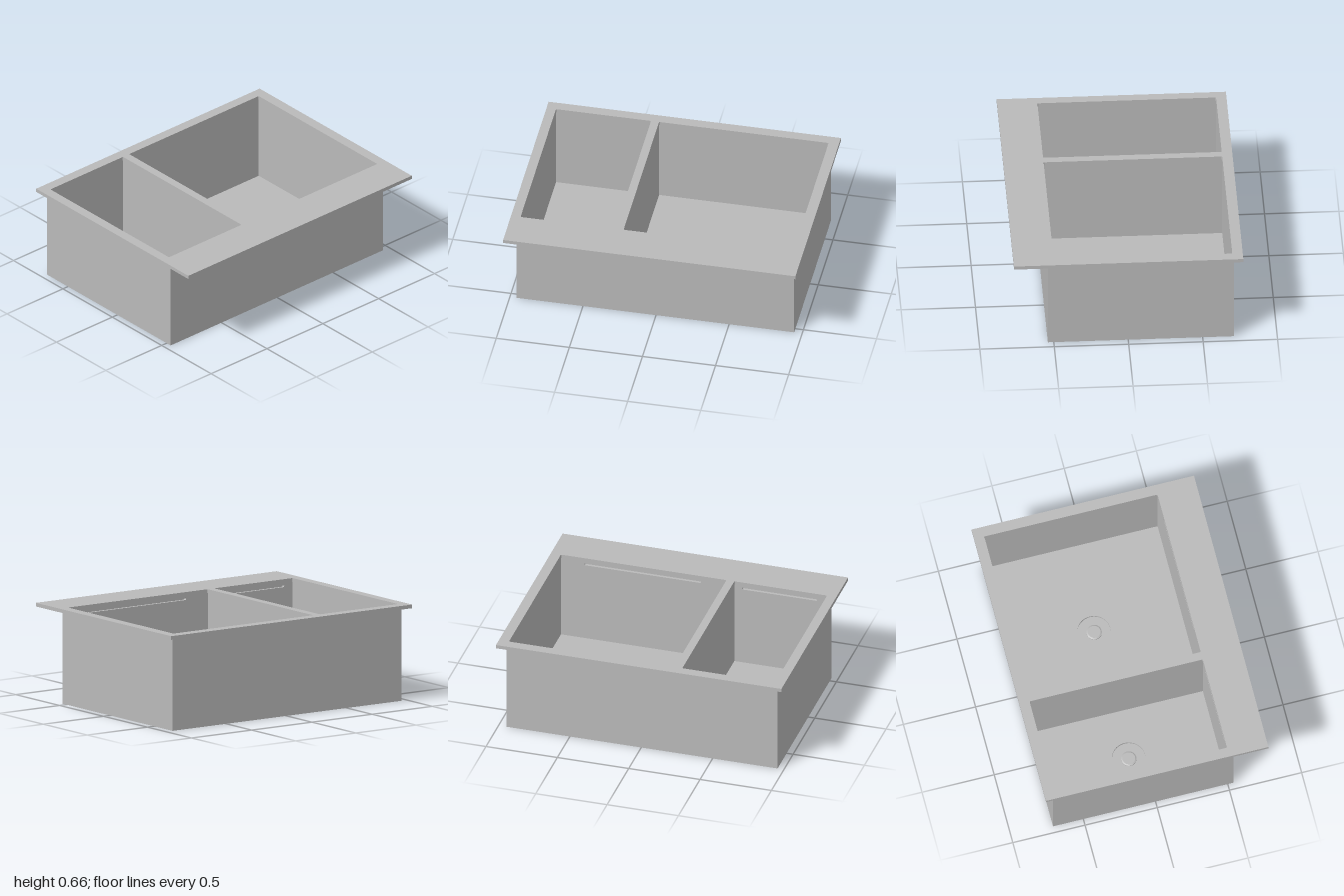
import * as THREE from 'three';

const steel = new THREE.MeshStandardMaterial({ color: 0xbababa });
steel.name = 'steel';

// Main levels and the two bowls (x range, slot x range, drain x)
const RIM_TOP = 0.66, RIM_BOTTOM = 0.635, FLOOR = 0.04;
const BODY = { x0: -0.955, x1: 0.945, z0: -0.71, z1: 0.54 };
const BACK = -0.7, FRONT = 0.5, DRAIN_Z = -0.1, DRAIN_R = 0.113;
const bowls = [
  { x0: -0.935, x1: -0.285, slot: [-0.865, -0.34], drain: -0.625 },
  { x0: -0.23, x1: 0.93, slot: [-0.05, 0.765], drain: 0.307 },
];

// Rectangle with rounded corners
function roundedRect(path, x0, x1, y0, y1, r) {
  path.moveTo(x0 + r, y0).lineTo(x1 - r, y0);
  path.absarc(x1 - r, y0 + r, r, -Math.PI / 2, 0);
  path.absarc(x1 - r, y1 - r, r, 0, Math.PI / 2);
  path.absarc(x0 + r, y1 - r, r, Math.PI / 2, Math.PI);
  path.absarc(x0 + r, y0 + r, r, Math.PI, Math.PI * 1.5);
  return path;
}

function rectShape(x0, x1, y0, y1) {
  return new THREE.Shape([[x0, y0], [x1, y0], [x1, y1], [x0, y1]].map(p => new THREE.Vector2(...p)));
}

function extrude(shape, depth) {
  return new THREE.ExtrudeGeometry(shape, { depth, bevelEnabled: false, curveSegments: 16 });
}

// Plan shapes use (x, -z) and are extruded upward from y0 to y1
function slab(shape, y0, y1) {
  return extrude(shape, y1 - y0).rotateX(-Math.PI / 2).translate(0, y0, 0);
}

export function createModel() {
  const group = new THREE.Group();
  group.name = 'doubleSink';
  const add = (name, geometry, x = 0, y = 0, z = 0) => {
    const mesh = new THREE.Mesh(geometry, steel);
    mesh.name = name;
    mesh.position.set(x, y, z);
    group.add(mesh);
  };

  // Flat rim with the two bowl openings
  const rim = rectShape(-1, 1, -0.77, 0.77);
  for (const b of bowls) rim.holes.push(roundedRect(new THREE.Path(), b.x0, b.x1, -FRONT, -BACK, 0.008));
  add('rim', slab(rim, RIM_BOTTOM, RIM_TOP));

  // Comb-shaped plan: side walls, back wall and divider
  const [a, c] = bowls;
  const walls = new THREE.Shape([
    [BODY.x0, -FRONT], [a.x0, -FRONT], [a.x0, -BACK], [a.x1, -BACK], [a.x1, -FRONT],
    [c.x0, -FRONT], [c.x0, -BACK], [c.x1, -BACK], [c.x1, -FRONT],
    [BODY.x1, -FRONT], [BODY.x1, -BODY.z0], [BODY.x0, -BODY.z0],
  ].map(p => new THREE.Vector2(...p)));
  add('sideWallsAndDivider', slab(walls, FLOOR, RIM_BOTTOM));

  // Front wall: slotted inner layer with a closed outer layer
  const inner = rectShape(BODY.x0, BODY.x1, FLOOR, RIM_BOTTOM);
  for (const b of bowls) inner.holes.push(roundedRect(new THREE.Path(), ...b.slot, 0.606, 0.622, 0.007));
  add('overflowWall', extrude(inner, 0.02), 0, 0, FRONT);
  add('frontWall', extrude(rectShape(BODY.x0, BODY.x1, FLOOR, RIM_BOTTOM), BODY.z1 - FRONT - 0.02), 0, 0, FRONT + 0.02);

  // Floor with drain recesses, closed underneath
  const floor = rectShape(BODY.x0, BODY.x1, -BODY.z1, -BODY.z0);
  for (const b of bowls) floor.holes.push(new THREE.Path().absarc(b.drain, -DRAIN_Z, DRAIN_R, 0, Math.PI * 2));
  add('bowlFloor', slab(floor, 0.025, FLOOR));
  add('underside', slab(rectShape(BODY.x0, BODY.x1, -BODY.z1, -BODY.z0), 0, 0.025));

  // Drain knobs
  const knob = [[0.052, 0], [0.052, 0.008], [0.043, 0.013], [0, 0.013]].map(p => new THREE.Vector2(...p));
  for (const b of bowls) {
    const geometry = new THREE.LatheGeometry(knob, 32).toNonIndexed();
    geometry.computeVertexNormals();
    add('drainKnob', geometry, b.drain, 0.025, DRAIN_Z);
  }
  return group;
}
